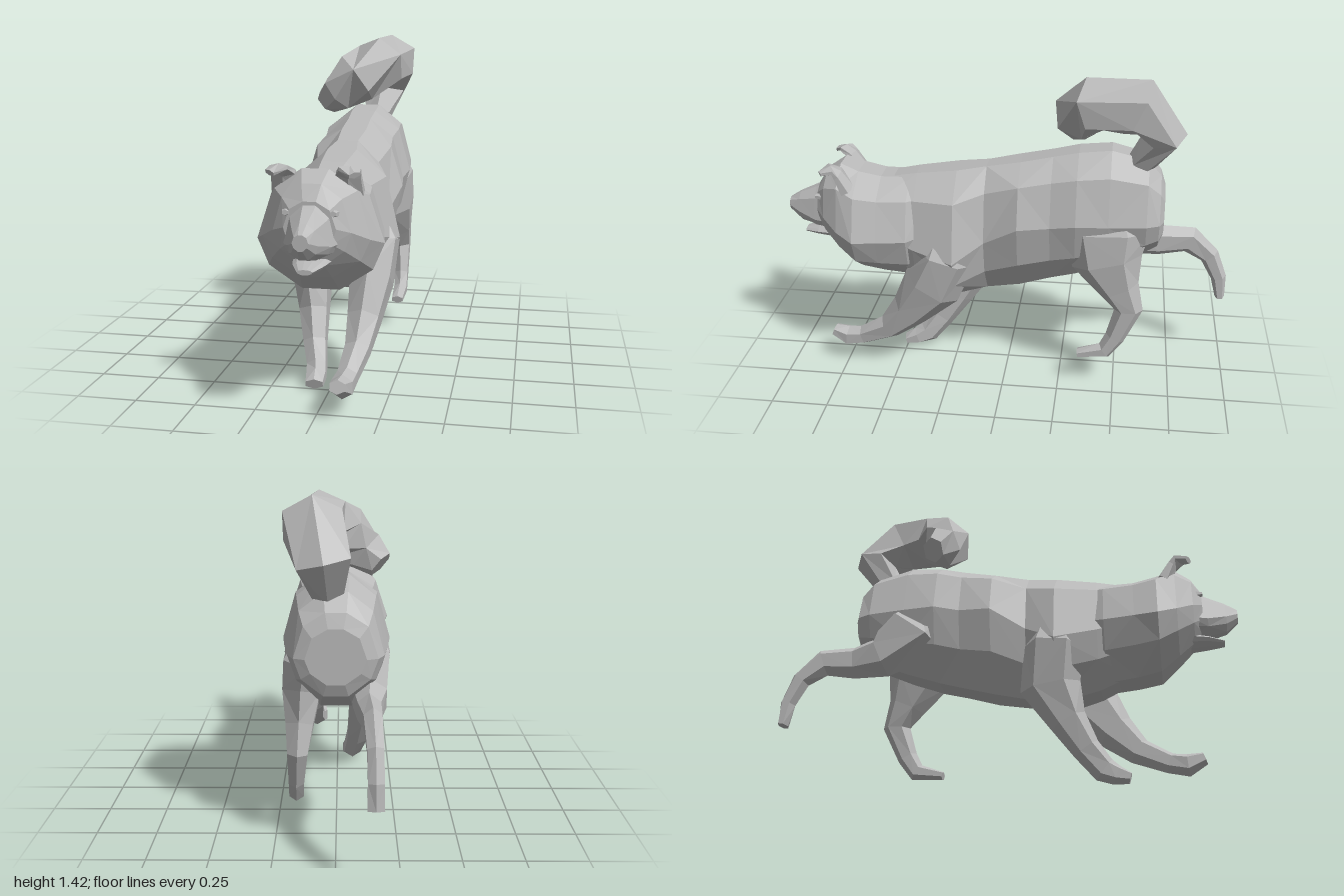
import * as THREE from 'three';

const fur = new THREE.MeshStandardMaterial({ color: 0xbababa });
fur.name = 'grey fur';

// Faceted closed skin over a list of equal-length rings
function skin(name, rings) {
  const pos = [];
  const tri = (a, b, c) => pos.push(...a.toArray(), ...b.toArray(), ...c.toArray());
  const n = rings[0].length;
  for (let i = 0; i < rings.length - 1; i++) {
    for (let j = 0; j < n; j++) {
      const k = (j + 1) % n;
      const a = rings[i][j], b = rings[i][k], c = rings[i + 1][k], d = rings[i + 1][j];
      if ((i + j) % 2) { tri(a, b, c); tri(a, c, d); }
      else { tri(a, b, d); tri(b, c, d); }
    }
  }
  const centre = (r) => r.reduce((s, p) => s.add(p), new THREE.Vector3()).divideScalar(n);
  const first = rings[0], last = rings[rings.length - 1];
  const c0 = centre(first), c1 = centre(last);
  for (let j = 0; j < n; j++) {
    const k = (j + 1) % n;
    tri(c0, first[k], first[j]);
    tri(c1, last[j], last[k]);
  }
  const geo = new THREE.BufferGeometry();
  geo.setAttribute('position', new THREE.Float32BufferAttribute(pos, 3));
  geo.computeVertexNormals();
  const mesh = new THREE.Mesh(geo, fur);
  mesh.name = name;
  return mesh;
}

// Symmetrical trunk-like part, rows of [z, top, bottom, halfWidth, widestHeight]
function trunk(name, rows) {
  const lerp = THREE.MathUtils.lerp;
  return skin(name, rows.map(([z, top, bot, w, mid]) => {
    const half = [[w, mid], [w * 0.76, lerp(mid, top, 0.7)], [w * 0.25, top]];
    const low = [[w * 0.3, bot], [w * 0.82, lerp(mid, bot, 0.55)]];
    const flip = (list) => list.map(([x, y]) => [-x, y]).reverse();
    return [...half, ...flip(half), ...flip(low), ...low]
      .map(([x, y]) => new THREE.Vector3(x, y, z));
  }));
}

// Limb along a path, rows of [x, y, z, halfWidth, halfThickness]
function limb(name, rows, sides = 6) {
  const pts = rows.map((r) => new THREE.Vector3(r[0], r[1], r[2]));
  return skin(name, rows.map((r, i) => {
    const t = new THREE.Vector3();
    if (i > 0) t.add(pts[i].clone().sub(pts[i - 1]).normalize());
    if (i < pts.length - 1) t.add(pts[i + 1].clone().sub(pts[i]).normalize());
    t.normalize();
    const s = new THREE.Vector3(1, 0, 0).addScaledVector(t, -t.x).normalize();
    const n = new THREE.Vector3().crossVectors(t, s);
    return Array.from({ length: sides }, (_, j) => {
      const a = ((j + 0.5) / sides) * Math.PI * 2;
      return pts[i].clone()
        .addScaledVector(s, Math.cos(a) * r[3] * 1.1)
        .addScaledVector(n, Math.sin(a) * r[4]);
    });
  }));
}

export function createModel() {
  const dog = new THREE.Group();
  dog.name = 'running dog';

  // Body from rump to chest, swelling at haunch, ribs and shoulder
  dog.add(trunk('body', [
    [-0.685, 0.92, 0.7, 0.12, 0.8],
    [-0.665, 0.98, 0.65, 0.165, 0.8],
    [-0.61, 1.05, 0.62, 0.19, 0.8],
    [-0.45, 1.09, 0.55, 0.21, 0.8],
    [-0.31, 1.075, 0.5, 0.222, 0.8],
    [-0.2, 1.05, 0.47, 0.205, 0.78],
    [-0.06, 1.02, 0.43, 0.222, 0.77],
    [0.09, 0.99, 0.4, 0.18, 0.68],
    [0.22, 0.97, 0.37, 0.25, 0.6],
    [0.4, 0.945, 0.42, 0.205, 0.64],
    [0.53, 0.92, 0.48, 0.17, 0.68],
  ]));

  // Ruff, cheeks and forehead
  dog.add(trunk('ruffAndHead', [
    [0.35, 0.93, 0.52, 0.17, 0.7],
    [0.43, 0.925, 0.45, 0.215, 0.68],
    [0.56, 0.925, 0.465, 0.235, 0.68],
    [0.66, 0.945, 0.485, 0.252, 0.68],
    [0.74, 0.975, 0.555, 0.21, 0.71],
    [0.81, 0.93, 0.62, 0.15, 0.75],
    [0.85, 0.87, 0.665, 0.1, 0.77],
  ]));
  dog.add(trunk('muzzle', [
    [0.79, 0.89, 0.65, 0.12, 0.71],
    [0.87, 0.845, 0.655, 0.09, 0.71],
    [0.95, 0.81, 0.675, 0.055, 0.73],
    [1.0, 0.78, 0.72, 0.03, 0.75],
  ]));
  dog.add(trunk('lowerJaw', [
    [0.76, 0.67, 0.6, 0.085, 0.64],
    [0.87, 0.65, 0.61, 0.06, 0.635],
    [0.935, 0.635, 0.615, 0.03, 0.627],
  ]));

  // Folded ears and eyes
  for (const m of [1, -1]) {
    dog.add(limb(m > 0 ? 'leftEar' : 'rightEar', [
      [m * 0.125, 0.88, 0.695, 0.055, 0.035],
      [m * 0.125, 0.955, 0.735, 0.05, 0.022],
      [m * 0.135, 0.98, 0.765, 0.045, 0.015],
      [m * 0.16, 0.965, 0.805, 0.022, 0.012],
    ]));
    dog.add(limb(m > 0 ? 'leftEye' : 'rightEye', [
      [m * 0.09, 0.825, 0.82, 0.02, 0.018],
      [m * 0.09, 0.828, 0.855, 0.012, 0.01],
    ]));
  }

  // Front legs: left reaching forward, right pushing down
  dog.add(limb('frontLeftLeg', [
    [0.11, 0.76, 0.24, 0.05, 0.07],
    [0.155, 0.59, 0.26, 0.095, 0.13],
    [0.148, 0.44, 0.33, 0.088, 0.135],
    [0.135, 0.3, 0.44, 0.068, 0.09],
    [0.125, 0.2, 0.54, 0.052, 0.06],
    [0.108, 0.135, 0.67, 0.042, 0.045],
    [0.1, 0.12, 0.745, 0.045, 0.05],
    [0.095, 0.145, 0.815, 0.032, 0.028],
  ]));
  dog.add(limb('frontRightLeg', [
    [-0.11, 0.76, 0.22, 0.05, 0.07],
    [-0.155, 0.59, 0.21, 0.095, 0.13],
    [-0.135, 0.42, 0.19, 0.08, 0.13],
    [-0.115, 0.27, 0.26, 0.063, 0.08],
    [-0.097, 0.15, 0.33, 0.05, 0.06],
    [-0.075, 0.063, 0.4, 0.042, 0.055],
    [-0.068, 0.04, 0.45, 0.042, 0.042],
    [-0.065, 0.024, 0.505, 0.038, 0.024],
  ]));

  // Hind legs: left tucked under, right stretched back
  dog.add(limb('hindLeftLeg', [
    [0.08, 0.9, -0.44, 0.05, 0.1],
    [0.125, 0.74, -0.44, 0.09, 0.19],
    [0.14, 0.61, -0.45, 0.08, 0.155],
    [0.148, 0.48, -0.51, 0.058, 0.09],
    [0.155, 0.38, -0.555, 0.043, 0.063],
    [0.163, 0.24, -0.5, 0.033, 0.045],
    [0.165, 0.17, -0.455, 0.032, 0.04],
    [0.165, 0.148, -0.335, 0.027, 0.018],
  ]));
  dog.add(limb('hindRightLeg', [
    [-0.08, 0.88, -0.36, 0.05, 0.1],
    [-0.13, 0.72, -0.42, 0.09, 0.17],
    [-0.135, 0.61, -0.56, 0.07, 0.1],
    [-0.13, 0.595, -0.68, 0.048, 0.075],
    [-0.14, 0.6, -0.82, 0.037, 0.065],
    [-0.148, 0.52, -0.915, 0.033, 0.045],
    [-0.15, 0.41, -0.965, 0.032, 0.035],
    [-0.15, 0.31, -0.978, 0.034, 0.022],
  ]));

  // Bushy tail curling over the back
  dog.add(limb('tail', [
    [0.03, 1.03, -0.57, 0.06, 0.06],
    [0.045, 1.17, -0.665, 0.11, 0.095],
    [0.09, 1.3, -0.55, 0.12, 0.13],
    [0.07, 1.3, -0.37, 0.125, 0.12],
    [-0.03, 1.23, -0.3, 0.115, 0.11],
    [-0.12, 1.16, -0.3, 0.085, 0.085],
    [-0.18, 1.11, -0.33, 0.055, 0.055],
  ]));

  return dog;
}
